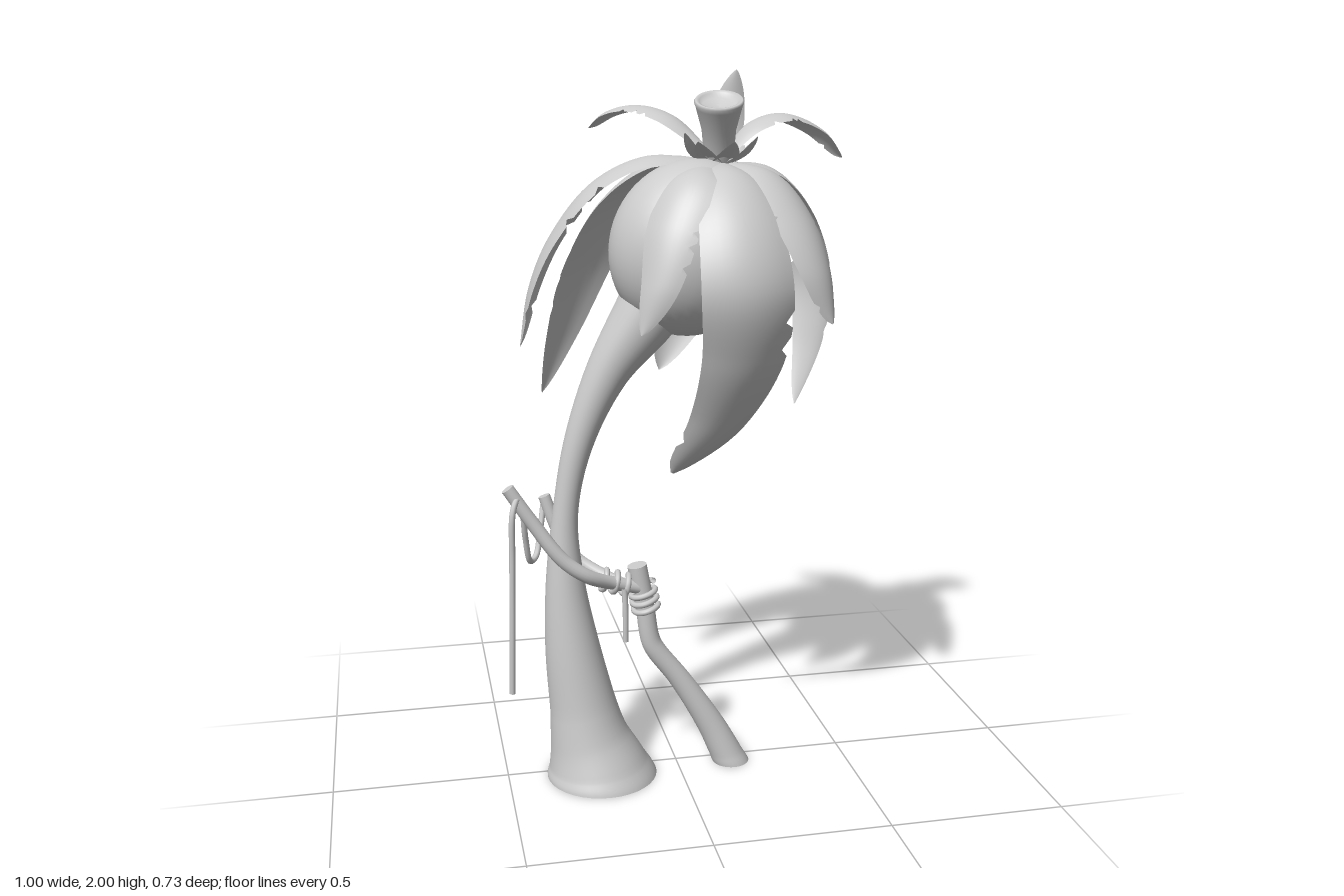
import * as THREE from 'three';

const material = new THREE.MeshStandardMaterial({ color: 0xcccccc, side: THREE.DoubleSide });
const UP = new THREE.Vector3(0, 1, 0), FRONT = new THREE.Vector3(0, 0, 1);
const vec = (p) => new THREE.Vector3(p[0], p[1], p[2]);

function add(group, name, geometry) {
  const mesh = new THREE.Mesh(geometry, material);
  mesh.name = name;
  group.add(mesh);
  return mesh;
}

function surface(positions, index) {
  const g = new THREE.BufferGeometry();
  g.setAttribute('position', new THREE.Float32BufferAttribute(positions, 3));
  g.setIndex(index);
  g.computeVertexNormals();
  return g;
}

// Tapered round limb through [x, y, z, radius] stations: open at the foot, capped at the end,
// with rings that level out near the ground
function limb(stations, rows = 40, sides = 28) {
  const path = new THREE.CatmullRomCurve3(stations.map(vec));
  const radii = new THREE.SplineCurve(stations.map((s, i) => new THREE.Vector2(i, s[3])));
  const rings = [];
  for (let i = 0; i <= rows; i++) rings.push([i / rows, 1]);
  rings.push([1, 1], [1, 0]);
  const pos = [], index = [];
  rings.forEach(([t, scale], i) => {
    const c = path.getPoint(t);
    const T = path.getTangent(t).lerp(UP, Math.max(0, 1 - c.y / 0.15)).normalize();
    const A = T.clone().cross(FRONT).normalize(), B = A.clone().cross(T);
    const r = radii.getPoint(t).y * scale;
    for (let j = 0; j < sides; j++) {
      const a = (j / sides) * Math.PI * 2;
      pos.push(...c.clone().addScaledVector(A, r * Math.cos(a)).addScaledVector(B, r * Math.sin(a)).toArray());
      if (i === rings.length - 1 || i === rings.length - 3) continue;
      const k = i * sides + j, n = i * sides + ((j + 1) % sides);
      index.push(k, k + sides, n, n, k + sides, n + sides);
    }
  });
  return surface(pos, index);
}

// Arched leaf along a midrib; the blade bends down to its edges, which are torn in places.
// A higher point value gives a sharper tip
function leaf(points, width, { point = 0.8, seed = 1, torn = true, base = 0.32 } = {}) {
  const path = new THREE.CatmullRomCurve3(points.map(vec));
  const out = path.getPoint(0.5).sub(path.getPoint(0)).setY(0).normalize();
  const across = new THREE.Vector3(out.z, 0, -out.x);
  const rows = 44, cols = 10, pos = [], index = [];
  let state = seed * 7919;
  const random = () => (state = (state * 16807) % 2147483647) / 2147483647;
  for (let i = 0; i <= rows; i++) {
    const u = i / rows, c = path.getPointAt(u), T = path.getTangentAt(u);
    const S = across.clone().addScaledVector(T, -across.dot(T)).normalize();
    const N = T.clone().cross(S).normalize();
    const grow = base + (1 - base) * Math.sin((Math.min(1, u / 0.45) * Math.PI) / 2);
    const taper = Math.pow(1 - 0.995 * Math.pow(Math.max(0, (u - 0.45) / 0.55), 1.8), point);
    const half = (width / 2) * grow * taper;
    const tear = [0, 1].map(() => (random() > 0.94 && torn && u > 0.3 && u < 0.95 ? 0.78 : 1));
    for (let j = 0; j <= cols; j++) {
      let v = (j / cols) * 2 - 1;
      if (j === 0) v *= tear[0];
      if (j === cols) v *= tear[1];
      const p = c.clone().addScaledVector(S, v * half).addScaledVector(N, -0.3 * half * v * v);
      pos.push(p.x, p.y, p.z);
      if (i === rows || j === cols) continue;
      const k = i * (cols + 1) + j, n = k + cols + 1;
      index.push(k, k + 1, n, n, k + 1, n + 1);
    }
  }
  return surface(pos, index);
}

function rope(points, radius = 0.0085) {
  return new THREE.TubeGeometry(new THREE.CatmullRomCurve3(points.map(vec)), points.length * 8, radius, 8);
}

// Rope wound around a straight piece of wood, each turn slightly slanted
function coil(from, to, turns, radius) {
  const a = vec(from), b = vec(to), axis = b.clone().sub(a).normalize();
  const A = axis.clone().cross(FRONT).normalize(), B = A.clone().cross(axis);
  const pts = [];
  for (let i = 0; i <= turns * 10; i++) {
    const t = (i / 10) * Math.PI * 2;
    const p = a.clone().lerp(b, i / (turns * 10)).addScaledVector(axis, 0.008 * Math.cos(t));
    p.addScaledVector(A, radius * Math.cos(t)).addScaledVector(B, radius * Math.sin(t));
    pts.push(p.toArray());
  }
  return rope(pts);
}

export function createModel() {
  const tree = new THREE.Group();
  tree.name = 'leaningPalm';

  // Trunk: flared foot, slim waist, widening into the crown
  add(tree, 'trunk', limb([
    [-0.228, 0, 0.035, 0.16], [-0.24, 0.04, 0.035, 0.142], [-0.264, 0.12, 0.033, 0.114],
    [-0.281, 0.22, 0.03, 0.096], [-0.308, 0.4, 0.028, 0.078], [-0.325, 0.6, 0.03, 0.055],
    [-0.322, 0.8, 0.035, 0.036], [-0.283, 1.0, 0.038, 0.041], [-0.2, 1.2, 0.042, 0.06],
    [-0.09, 1.36, 0.045, 0.09], [0.0, 1.5, 0.05, 0.1],
  ], 60, 36));

  // Swollen crown under the leaves
  const crown = add(tree, 'crown', new THREE.SphereGeometry(1, 40, 28));
  crown.scale.set(0.222, 0.24, 0.195);
  crown.rotation.z = -0.35;
  crown.position.set(0.032, 1.535, 0.05);

  // Cut, cup-shaped top
  const profile = [[0, -0.03], [0.042, -0.02], [0.041, 0.04], [0.046, 0.1], [0.062, 0.165],
    [0.066, 0.177], [0.062, 0.183], [0.052, 0.18], [0.044, 0.168], [0, 0.162]];
  const cup = add(tree, 'cutTop', new THREE.LatheGeometry(profile.map(([x, y]) => new THREE.Vector2(x, y)), 32));
  cup.position.set(0.112, 1.755, 0.028);
  cup.quaternion.setFromUnitVectors(UP, new THREE.Vector3(-0.015, 0.16, 0.06).normalize());

  // Long drooping leaves around the crown
  const drooping = {
    frontLeaf: [0.25, [[0.1, 1.765, 0.05], [0.105, 1.74, 0.18], [0.115, 1.62, 0.305], [0.125, 1.45, 0.36],
      [0.13, 1.25, 0.295], [0.08, 1.06, 0.185], [-0.03, 0.92, 0.1]], 0.55],
    frontRightLeaf: [0.155, [[0.08, 1.765, 0.05], [0.0, 1.735, 0.18], [-0.065, 1.62, 0.25], [-0.105, 1.47, 0.28], [-0.145, 1.34, 0.265]], 0.7],
    frontLeftLeaf: [0.18, [[0.13, 1.765, 0.04], [0.22, 1.74, 0.13], [0.285, 1.63, 0.23], [0.325, 1.5, 0.29], [0.355, 1.36, 0.305]], 0.6],
    leftLeaf: [0.21, [[0.14, 1.76, 0], [0.27, 1.74, -0.05], [0.375, 1.63, -0.09], [0.442, 1.42, -0.105],
      [0.425, 1.25, -0.09], [0.365, 1.06, -0.065]], 0.8],
    backLeaf: [0.24, [[0.13, 1.765, -0.01], [0.16, 1.745, -0.12], [0.15, 1.63, -0.225], [0.115, 1.45, -0.28],
      [0.07, 1.3, -0.3], [0.01, 1.13, -0.29]], 0.75],
    backRightLeaf: [0.27, [[0.08, 1.765, 0], [-0.01, 1.765, -0.12], [-0.12, 1.67, -0.215], [-0.225, 1.47, -0.285],
      [-0.29, 1.25, -0.33], [-0.335, 1.06, -0.36]], 0.85],
    rightLeaf: [0.22, [[0.07, 1.77, 0.02], [-0.08, 1.775, -0.02], [-0.22, 1.705, -0.06], [-0.335, 1.56, -0.085],
      [-0.395, 1.42, -0.085], [-0.425, 1.26, -0.07]], 0.65],
  };
  Object.entries(drooping).forEach(([name, [width, points, point]], i) =>
    add(tree, name, leaf(points, width, { point, seed: i + 2, base: 0.45 })));

  // Upper leaves and the upright one behind the cup
  add(tree, 'upperRightLeaf', leaf([[0.09, 1.79, 0], [0.0, 1.88, -0.08], [-0.08, 1.905, -0.16],
    [-0.15, 1.885, -0.22], [-0.195, 1.84, -0.265]], 0.115, { point: 0.5, seed: 11 }));
  add(tree, 'upperLeftLeaf', leaf([[0.13, 1.78, 0.02], [0.2, 1.855, 0], [0.3, 1.885, -0.035],
    [0.42, 1.84, -0.07], [0.495, 1.76, -0.09]], 0.13, { point: 0.5, seed: 12 }));
  add(tree, 'uprightLeaf', leaf([[0.14, 1.76, 0], [0.145, 1.87, -0.015], [0.165, 2.0, 0.003]], 0.09, { torn: false }));

  // Short pointed sprouts around the foot of the cup
  [[-0.1, 1.84, 0.05], [-0.08, 1.82, 0.12], [0.01, 1.82, 0.15], [0.09, 1.83, 0.08], [-0.07, 1.84, -0.07],
    [0.09, 1.8, -0.06]].forEach(([dx, y, dz]) => {
    add(tree, 'sprout', leaf([[0.11, 1.75, 0.02], [0.11 + dx * 0.6, 1.79, 0.02 + dz * 0.6], [0.11 + dx, y, 0.02 + dz]],
      0.065, { torn: false }));
  });

  // Forked prop: leg, neck and two prongs embracing the trunk
  const prop = new THREE.Group();
  prop.name = 'forkedProp';
  tree.add(prop);
  add(prop, 'propLeg', limb([[0.16, 0, 0.035, 0.054], [0.145, 0.03, 0.035, 0.049], [0.1, 0.12, 0.035, 0.04],
    [0.005, 0.275, 0.035, 0.031], [-0.068, 0.375, 0.035, 0.029], [-0.083, 0.41, 0.035, 0.028],
    [-0.1, 0.53, 0.035, 0.027], [-0.12, 0.635, 0.035, 0.028]]));
  add(prop, 'frontProng', limb([[-0.1, 0.565, 0.04, 0.018], [-0.19, 0.595, 0.06, 0.019], [-0.27, 0.635, 0.1, 0.02],
    [-0.34, 0.69, 0.105, 0.02], [-0.42, 0.8, 0.095, 0.019], [-0.485, 0.9, 0.09, 0.018]], 30, 16));
  add(prop, 'backProng', limb([[-0.15, 0.58, 0.045, 0.016], [-0.22, 0.605, 0.0, 0.018], [-0.29, 0.65, -0.035, 0.019],
    [-0.335, 0.73, -0.045, 0.018], [-0.37, 0.83, -0.055, 0.017]], 30, 16));

  // Rope slung between the prongs, with its loose end hanging down
  const ropes = new THREE.Group();
  ropes.name = 'ropes';
  tree.add(ropes);
  add(ropes, 'hangingRope', rope([[-0.49, 0.31, 0.115], [-0.485, 0.5, 0.12], [-0.48, 0.7, 0.12], [-0.475, 0.84, 0.12],
    [-0.46, 0.872, 0.1], [-0.445, 0.84, 0.07], [-0.435, 0.74, 0.04], [-0.42, 0.66, 0.01], [-0.4, 0.665, -0.02],
    [-0.38, 0.75, -0.055], [-0.365, 0.815, -0.075], [-0.35, 0.78, -0.065], [-0.33, 0.65, -0.06], [-0.27, 0.6, -0.045],
    [-0.22, 0.605, 0.02]]));
  add(ropes, 'neckCoil', coil([-0.225, 0.605, 0.045], [-0.13, 0.575, 0.04], 3, 0.029));
  add(ropes, 'legCoil', coil([-0.093, 0.5, 0.035], [-0.106, 0.57, 0.035], 3, 0.036));
  add(ropes, 'shortRopeEnd', rope([[-0.16, 0.42, 0.07], [-0.16, 0.5, 0.072], [-0.162, 0.58, 0.07]]));

  return tree;
}
